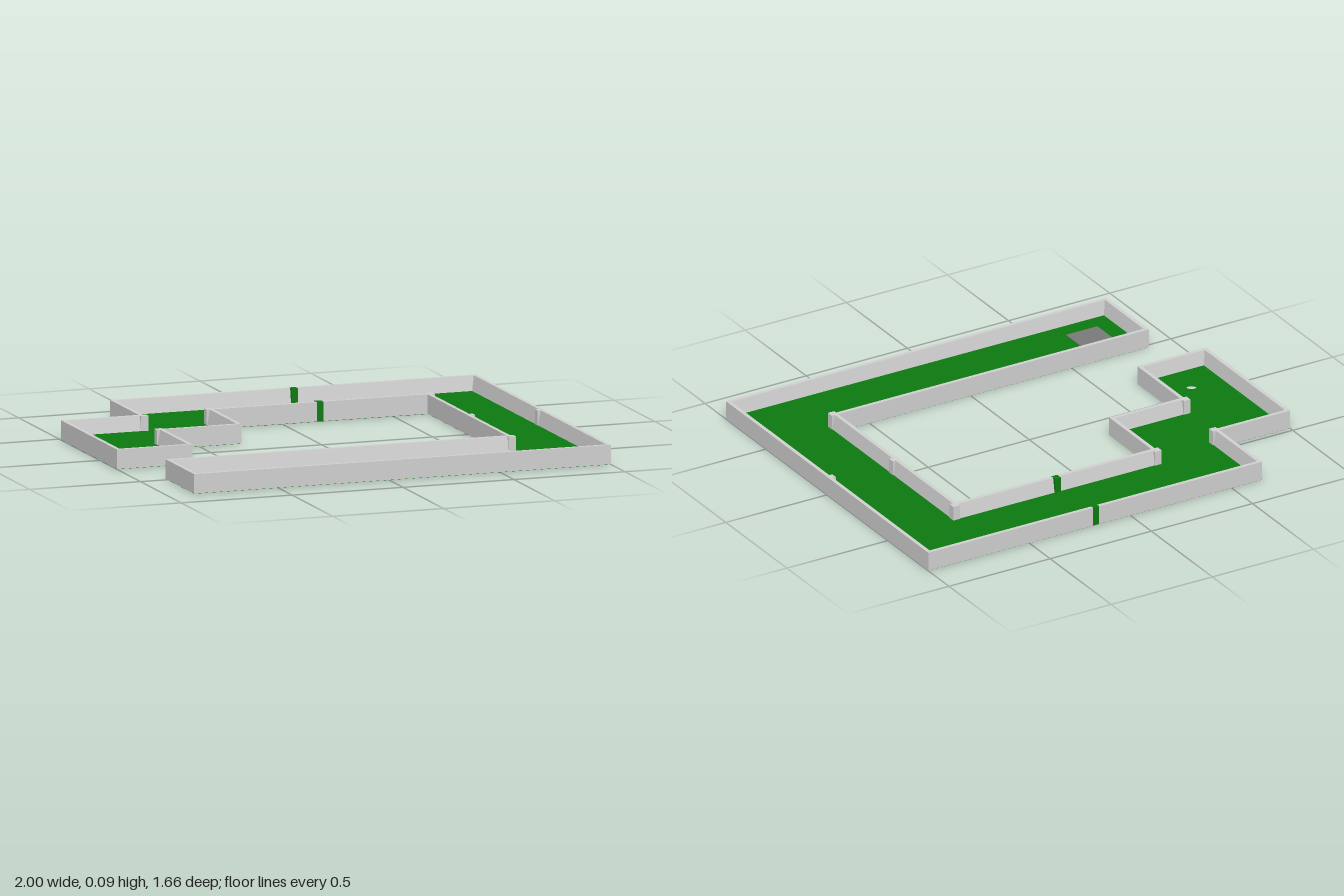
import * as THREE from 'three';

const H = 0.085, W = 0.032, GAP = 0.03, FLOOR = 0.02;

// course outline in (x, z), clockwise seen from above
const outline = [
  [-0.65, -0.83], [1, -0.83], [1, 0.83], [-0.88, 0.83], [-0.88, 0.48], [0.655, 0.48],
  [0.655, -0.485], [-0.31, -0.485], [-0.31, -0.14], [-0.66, -0.14], [-0.66, 0.21],
  [-1, 0.21], [-1, -0.48], [-0.65, -0.48],
];
// kerb cross-section: distance inward, height
const profile = [[0, 0.001], [0, H], [0.017, H], [W, 0.001]];

const count = outline.length;
const edges = outline.map(([x, z], i) => {
  const [x2, z2] = outline[(i + 1) % count];
  const length = Math.hypot(x2 - x, z2 - z);
  const dx = (x2 - x) / length, dz = (z2 - z) / length;
  return { x, z, dx, dz, nx: -dz, nz: dx, length };
});
const isConvex = (i) => {
  const a = edges[(i + count - 1) % count], b = edges[i % count];
  return a.dx * b.dz - a.dz * b.dx > 0;
};

// kerb prism along an edge; mitre 1 slants the end, 0 leaves it square
function kerbGeometry(e, from, to, mitreA, mitreB) {
  const ring = (t, slant) => profile.map(([d, y]) => {
    const s = t + d * slant;
    return [e.x + e.dx * s + e.nx * d, y, e.z + e.dz * s + e.nz * d];
  });
  const a = ring(from, mitreA), b = ring(to, -mitreB), pos = [];
  const tri = (...points) => points.forEach((p) => pos.push(...p));
  for (let k = 0; k < 4; k++) {
    const n = (k + 1) % 4;
    tri(a[k], a[n], b[n]);
    tri(a[k], b[n], b[k]);
  }
  tri(a[0], a[2], a[1]);
  tri(a[0], a[3], a[2]);
  tri(b[0], b[1], b[2]);
  tri(b[0], b[2], b[3]);
  const g = new THREE.BufferGeometry();
  g.setAttribute('position', new THREE.Float32BufferAttribute(pos, 3));
  g.computeVertexNormals();
  return g;
}

// floor slab, inset a hair inside the kerbs
function slabGeometry(height, hole) {
  const inset = 0.001;
  const shape = new THREE.Shape(outline.map(([x, z], i) => {
    const a = edges[(i + count - 1) % count], b = edges[i];
    return new THREE.Vector2(x + (a.nx + b.nx) * inset, -(z + (a.nz + b.nz) * inset));
  }));
  if (hole) shape.holes.push(new THREE.Path().absarc(hole.x, -hole.z, hole.r, 0, Math.PI * 2, true));
  return new THREE.ExtrudeGeometry(shape, { depth: height, bevelEnabled: false, curveSegments: 12 })
    .rotateX(-Math.PI / 2);
}

export function createModel() {
  const model = new THREE.Group();
  model.name = 'miniGolfLane';
  const green = new THREE.MeshStandardMaterial({ color: 0x0c7a10 });
  green.name = 'turf green';
  const grey = new THREE.MeshStandardMaterial({ color: 0xd0d0d0 });
  grey.name = 'kerb grey';
  const matGrey = new THREE.MeshStandardMaterial({ color: 0x7a7a7a });
  matGrey.name = 'tee grey';

  const add = (name, geometry, material, x = 0, y = 0, z = 0) => {
    const mesh = new THREE.Mesh(geometry, material);
    mesh.name = name;
    mesh.position.set(x, y, z);
    model.add(mesh);
    return mesh;
  };

  // turf with the cup sunk into it
  const cup = { x: -0.825, z: 0.04, r: 0.025 };
  const base = 0.004;
  add('floorBase', slabGeometry(base), green);
  add('turf', slabGeometry(FLOOR - base, cup), green, 0, base);
  add('cupBottom', new THREE.CylinderGeometry(cup.r, cup.r, 0.004, 12), grey, cup.x, base + 0.002, cup.z);

  // tee mat
  add('teeMat', new THREE.BoxGeometry(0.155, 0.003, 0.155), matGrey, -0.695, FLOOR + 0.0015, 0.645);

  // posts set into the kerbs: edge index, distance along it, material
  const posts = {
    0: [0.82, green], 1: [0.825, grey], 5: [0.485, grey], 6: [0.485, green],
  };

  edges.forEach((e, i) => {
    const startMitre = isConvex(i) ? 1 : 0, endMitre = isConvex(i + 1) ? 1 : 0;
    if (posts[i]) {
      const [t, material] = posts[i];
      add('kerb', kerbGeometry(e, 0, t - GAP / 2, startMitre, 0), grey);
      add('kerb', kerbGeometry(e, t + GAP / 2, e.length, 0, endMitre), grey);
      const geometry = new THREE.BoxGeometry(
        Math.abs(e.dx) * GAP + Math.abs(e.nx) * W, H - 0.001, Math.abs(e.dz) * GAP + Math.abs(e.nz) * W);
      add('kerbPost', geometry, material,
        e.x + e.dx * t + e.nx * W / 2, (H + 0.001) / 2, e.z + e.dz * t + e.nz * W / 2);
    } else {
      add('kerb', kerbGeometry(e, 0, e.length, startMitre, endMitre), grey);
    }
    // square post filling each inward-pointing corner
    if (!startMitre) {
      const p = edges[(i + count - 1) % count];
      add('cornerPost', new THREE.BoxGeometry(W, H - 0.001, W), grey,
        e.x + (p.nx + e.nx) * W / 2, (H + 0.001) / 2, e.z + (p.nz + e.nz) * W / 2);
    }
  });
  return model;
}
